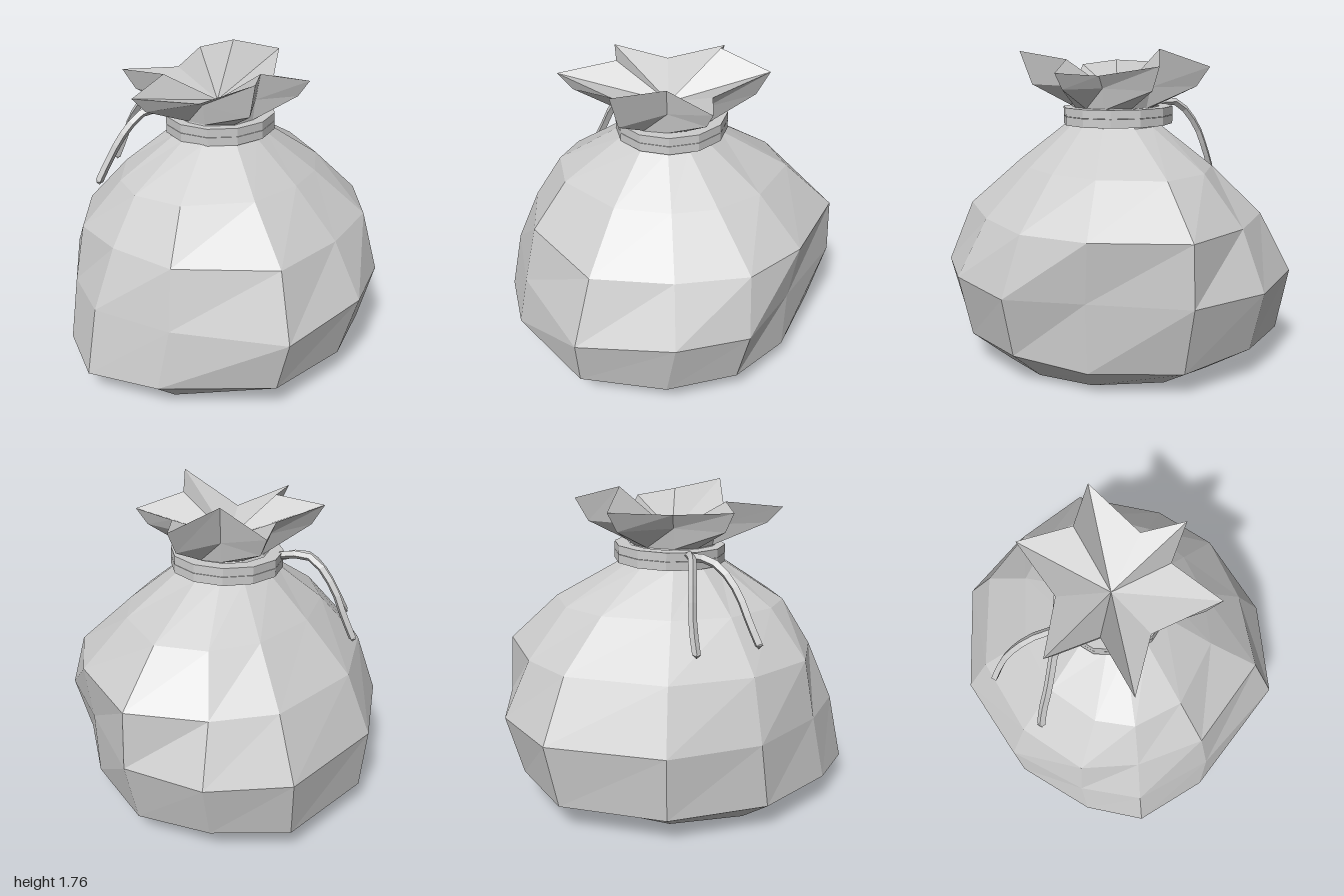
import * as THREE from 'three';

const cloth = new THREE.MeshStandardMaterial({ color: 0xcccccc });
cloth.name = 'cloth';
cloth.flatShading = true;

// Widest outline of the sack: twelve [x, z] corners from the front round to +x
const outline = [
  [0.1, 0.94], [0.49, 0.8], [0.71, 0.43], [1, -0.03], [0.93, -0.48], [0.64, -0.84],
  [0, -0.95], [-0.52, -0.76], [-0.85, -0.4], [-1, -0.07], [-0.86, 0.37], [-0.44, 0.88],
];

// Each level: height, reach towards +x, -x, +z, -z, and roundness (1 is an ellipse)
const levels = [
  [0, 0.69, 0.77, 0.66, 0.68, 0.9],
  [0.16, 0.91, 1, 0.87, 0.92, 0.15],
  [0.52, 1, 0.92, 0.95, 0.95, 0.05],
  [0.85, 0.98, 0.78, 0.78, 0.8, 0.75],
  [1.11, 0.7, 0.62, 0.52, 0.53, 0.75],
  [1.33, 0.31, 0.27, 0.26, 0.28, 1],
  [1.43, 0.26, 0.23, 0.23, 0.24, 1],
];

// Slack in the cloth: level, corner, then shift in x, y, z
const slack = [
  [1, 0, -0.04, 0.02, 0], [1, 1, -0.01, 0.02, 0], [1, 2, 0.05, -0.02, 0.02],
  [1, 3, 0, -0.02, 0], [1, 4, 0, 0.02, 0], [1, 9, 0, -0.02, 0],
  [1, 10, 0, 0.02, 0], [1, 11, 0, 0.02, 0],
  [2, 0, 0, 0.02, 0], [2, 11, -0.03, -0.03, 0],
  [3, 1, 0.04, 0, 0.01], [3, 4, -0.06, -0.01, 0], [3, 8, -0.03, 0, -0.04],
  [3, 10, -0.02, 0, 0.02], [3, 11, -0.01, 0, 0.05],
];

// Gathered rim: six tips alternating with six folds
const rim = [
  [0.02, 1.7, 0.28], [0.26, 1.64, 0.43], [0.26, 1.62, 0.18], [0.57, 1.68, -0.03],
  [0.3, 1.76, -0.16], [0.33, 1.66, -0.46], [0, 1.63, -0.32], [-0.32, 1.66, -0.44],
  [-0.28, 1.68, -0.15], [-0.6, 1.64, -0.05], [-0.28, 1.57, 0.11], [-0.25, 1.74, 0.47],
];

// Scales the outline to a level, then rounds it towards an ellipse
function ringAt([y, right, left, front, back, roundness]) {
  return outline.map(([x, z]) => {
    const a = x > 0 ? right : left;
    const b = z > 0 ? front : back;
    const toEllipse = 1 / Math.hypot(x / a, z / b);
    return [
      THREE.MathUtils.lerp(x * a, x * toEllipse, roundness),
      y,
      THREE.MathUtils.lerp((z * b) / (z > 0 ? 0.94 : 0.95), z * toEllipse, roundness),
    ];
  });
}

// Joins loops of equal length into a faceted skin
function skin(name, loops, bottom, top) {
  const p = [];
  const tri = (...corners) => corners.forEach((c) => p.push(...c));
  const n = loops[0].length;
  for (let j = 0; j < n; j++) {
    const k = (j + 1) % n;
    for (let i = 0; i < loops.length - 1; i++) {
      const a = loops[i], b = loops[i + 1];
      tri(a[j], a[k], b[k]);
      tri(a[j], b[k], b[j]);
    }
    if (bottom) tri(bottom, loops[0][k], loops[0][j]);
    if (top) tri(loops.at(-1)[j], loops.at(-1)[k], top);
  }
  const g = new THREE.BufferGeometry();
  g.setAttribute('position', new THREE.Float32BufferAttribute(p, 3));
  g.computeVertexNormals();
  const mesh = new THREE.Mesh(g, cloth);
  mesh.name = name;
  return mesh;
}

// Four-sided cord with capped ends
function cordEnd(name, points, radius) {
  const curve = new THREE.CatmullRomCurve3(points.map((q) => new THREE.Vector3(...q)));
  const group = new THREE.Group();
  group.name = name;
  group.add(new THREE.Mesh(new THREE.TubeGeometry(curve, 8, radius, 4), cloth));
  for (const t of [0, 1]) {
    const cap = new THREE.Mesh(new THREE.OctahedronGeometry(radius), cloth);
    cap.position.copy(curve.getPoint(t));
    group.add(cap);
  }
  return group;
}

export function createModel() {
  const model = new THREE.Group();
  model.name = 'tiedSack';

  // Sack body up to the neck
  const rings = levels.map(ringAt);
  for (const [level, corner, ...shift] of slack) {
    shift.forEach((d, axis) => { rings[level][corner][axis] += d; });
  }
  const neck = rings.at(-1);
  model.add(skin('sackBody', rings, [0, 0, 0]));

  // Flared mouth, closed by a sunken star of folds
  const flare = rim.map((r, j) => {
    const t = j % 2 ? 0.77 : 0.35;
    return [
      THREE.MathUtils.lerp(neck[j][0], r[0], t),
      1.55,
      THREE.MathUtils.lerp(neck[j][2], r[2], t),
    ];
  });
  model.add(skin('gatheredMouth', [neck, flare, rim], null, [0.02, 1.49, -0.03]));

  // Two flat turns of cord round the neck, slightly tilted
  const tie = new THREE.Group();
  tie.name = 'neckTie';
  const section = [[0.24, -0.025], [0.316, -0.025], [0.316, 0.023], [0.24, 0.023]]
    .map(([x, y]) => new THREE.Vector2(x, y));
  for (const y of [-0.025, 0.025]) {
    const turn = new THREE.Mesh(new THREE.LatheGeometry(section, 12), cloth);
    turn.name = 'cordTurn';
    turn.position.y = y;
    tie.add(turn);
  }
  tie.position.set(0.035, 1.383, -0.025);
  tie.rotation.z = 0.025;
  model.add(tie);

  // Loose cord ends hanging at the back
  model.add(cordEnd('longCordEnd', [
    [-0.08, 1.41, -0.3], [-0.1, 1.43, -0.4], [-0.11, 1.42, -0.49],
    [-0.115, 1.28, -0.62], [-0.12, 1.13, -0.69], [-0.14, 1.0, -0.745],
  ], 0.022));
  model.add(cordEnd('shortCordEnd', [
    [-0.1, 1.4, -0.3], [-0.2, 1.4, -0.38], [-0.28, 1.34, -0.42],
    [-0.35, 1.24, -0.46], [-0.41, 1.1, -0.51], [-0.46, 0.99, -0.54],
  ], 0.024));

  return model;
}
